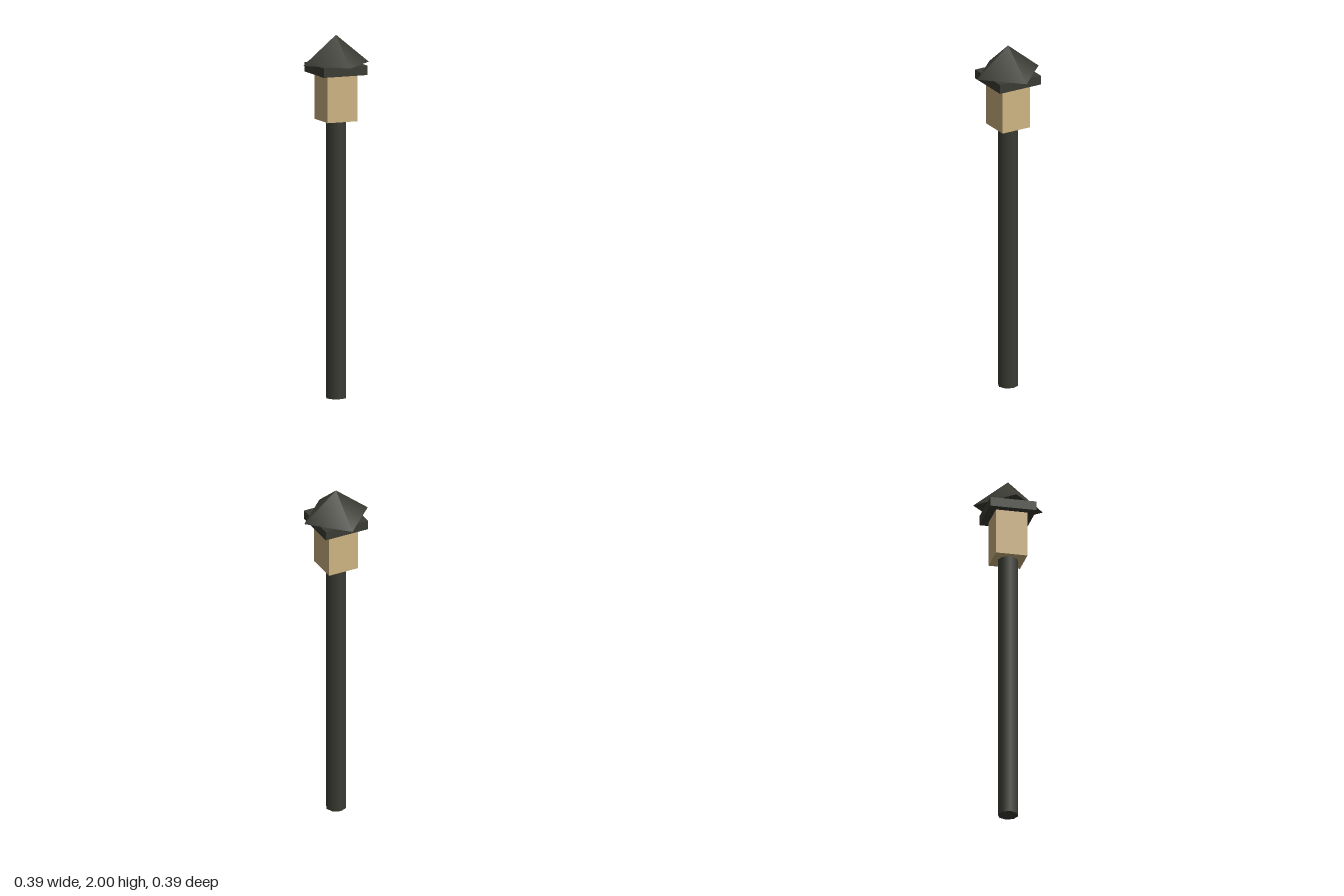
import * as THREE from 'three';

export function createModel() {
  const group = new THREE.Group();
  const darkMetal = new THREE.MeshStandardMaterial({ name: 'darkMetal', color: 0x3c3c35 });
  const warmGlass = new THREE.MeshStandardMaterial({ name: 'warmGlass', color: 0xd0b684 });

  // Adds a part whose underside sits at the given height
  const add = (name, geometry, material, bottom, height) => {
    const mesh = new THREE.Mesh(geometry, material);
    mesh.name = name;
    mesh.position.y = bottom + height / 2;
    group.add(mesh);
  };

  // Smooth-shaded eight-sided post
  add('post', new THREE.CylinderGeometry(0.057, 0.057, 1.53, 8), darkMetal, 0, 1.53);
  // Square lantern and its overhanging cap
  add('lantern', new THREE.BoxGeometry(0.176, 0.26, 0.176), warmGlass, 1.53, 0.26);
  add('capPlate', new THREE.BoxGeometry(0.26, 0.052, 0.26), darkMetal, 1.788, 0.052);
  // Four-sided roof, corners turned to the axes
  add('roof', new THREE.ConeGeometry(0.195, 0.16, 4), darkMetal, 1.84, 0.16);

  return group;
}
